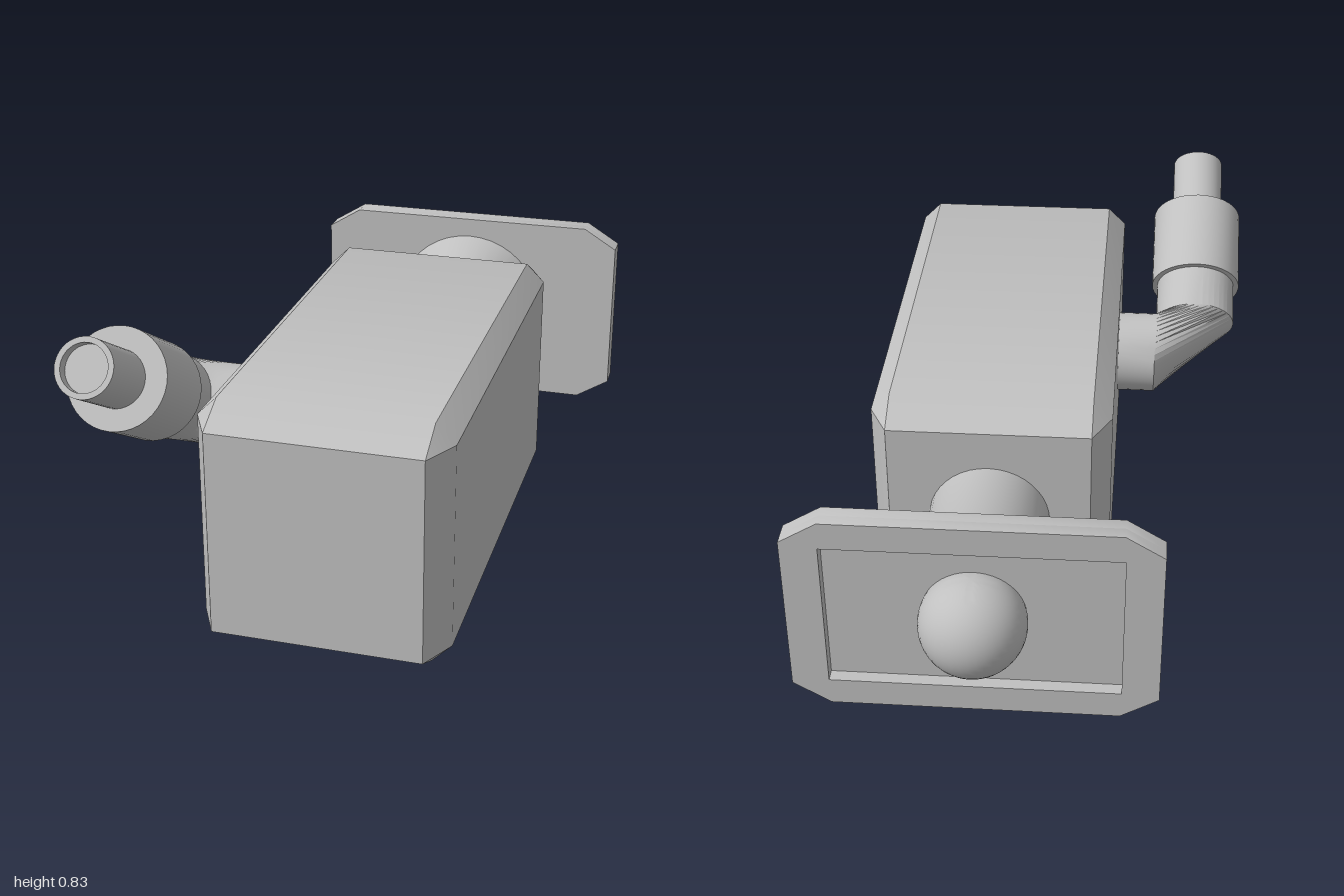
import * as THREE from 'three';
import { toCreasedNormals } from 'three/addons/utils/BufferGeometryUtils.js';
import { ConvexGeometry } from 'three/addons/geometries/ConvexGeometry.js';

const CREASE = THREE.MathUtils.degToRad(32);
const grey = new THREE.MeshStandardMaterial({ color: 0xc0c0c0 });
grey.name = 'grey metal';

function add(parent, name, geometry, x = 0, y = 0, z = 0) {
  const mesh = new THREE.Mesh(toCreasedNormals(geometry, CREASE), grey);
  mesh.name = name;
  mesh.position.set(x, y, z);
  parent.add(mesh);
  return mesh;
}

const lathe = (points) =>
  new THREE.LatheGeometry(points.map(([r, h]) => new THREE.Vector2(r, h)), 40);

// Box with all edges cut; the end bevels are longer than the side ones
function bevelledBox(w, h, d, b, bz) {
  const points = [];
  for (const sx of [-1, 1]) for (const sy of [-1, 1]) for (const sz of [-1, 1]) {
    const x = w / 2, y = h / 2, z = d / 2;
    points.push(
      new THREE.Vector3(sx * (x - b), sy * (y - b), sz * z),
      new THREE.Vector3(sx * x, sy * (y - b), sz * (z - bz)),
      new THREE.Vector3(sx * (x - b), sy * y, sz * (z - bz)));
  }
  return new ConvexGeometry(points);
}

// Pipe lofted through rings, each given by a centre and two axes
function pipe(rings, radius, sides = 40) {
  const positions = [];
  const point = (ring, j) => {
    const a = (j % sides) / sides * Math.PI * 2;
    return new THREE.Vector3(...ring.c)
      .addScaledVector(new THREE.Vector3(...ring.u), radius * Math.cos(a))
      .addScaledVector(new THREE.Vector3(...ring.v), radius * Math.sin(a));
  };
  for (let i = 0; i < rings.length - 1; i++) {
    for (let j = 0; j < sides; j++) {
      const a = point(rings[i], j), b = point(rings[i], j + 1);
      const c = point(rings[i + 1], j + 1), d = point(rings[i + 1], j);
      for (const p of [a, b, c, a, c, d]) positions.push(p.x, p.y, p.z);
    }
  }
  const geometry = new THREE.BufferGeometry();
  geometry.setAttribute('position', new THREE.Float32BufferAttribute(positions, 3));
  return geometry;
}

// Rectangle outline with cut corners
function plateShape(w, h, cx, cy) {
  const x = w / 2, y = h / 2;
  return new THREE.Shape([
    [-x + cx, -y], [x - cx, -y], [x, -y + cy], [x, y - cy],
    [x - cx, y], [-x + cx, y], [-x, y - cy], [-x, -y + cy],
  ].map(([px, py]) => new THREE.Vector2(px, py)));
}

export function createModel() {
  const model = new THREE.Group();
  const cx = 0.107, cy = 0.333;

  // Main housing
  add(model, 'housing', bevelledBox(0.655, 0.66, 1.35, 0.052, 0.1), cx, 0.33, 0.255);

  // Flared neck leading back to the mounting plate
  const neck = lathe([[0.165, 0], [0.165, 0.25], [0.235, 0.39]]).rotateX(-Math.PI / 2);
  add(model, 'neck', neck, cx, cy, -0.4);

  // Mounting plate: a slab plus a rim that leaves a shallow recess behind
  const flat = { depth: 0.035, bevelEnabled: false };
  const slab = plateShape(0.955, 0.585, 0.1, 0.062);
  add(model, 'plateSlab', new THREE.ExtrudeGeometry(slab, flat), cx, cy, -0.825);
  const rim = plateShape(0.955, 0.585, 0.1, 0.062);
  rim.holes.push(new THREE.Path([
    new THREE.Vector2(-0.38, -0.215), new THREE.Vector2(-0.38, 0.215),
    new THREE.Vector2(0.38, 0.215), new THREE.Vector2(0.38, -0.215),
  ]));
  add(model, 'plateRim', new THREE.ExtrudeGeometry(rim, flat), cx, cy, -0.86);

  // Ball joint
  add(model, 'ball', new THREE.SphereGeometry(0.14, 40, 28), cx, cy, -0.86);

  // Elbow pipe from the housing's right side
  const side = { u: [0, 0, 1], v: [0, 1, 0] };
  const tilted = { u: [1, 0, 0], v: [0, 0.866, -0.5] };
  add(model, 'elbowPipe', pipe([
    { c: [-0.2, 0.41, 0.357], ...side },
    { c: [-0.33, 0.41, 0.357], ...side },
    { c: [-0.451, 0.464, 0.45], ...tilted },
    { c: [-0.451, 0.54, 0.582], ...tilted },
  ], 0.119));

  // Raised nozzle: thick sleeve and thin hollow-ended tube
  const nozzle = new THREE.Group();
  nozzle.name = 'nozzle';
  nozzle.position.set(-0.451, 0.53, 0.565);
  nozzle.rotation.x = Math.PI / 3;
  add(nozzle, 'sleeve', new THREE.CylinderGeometry(0.135, 0.135, 0.255, 40), 0, 0.1275, 0);
  add(nozzle, 'tube', lathe([
    [0.077, 0.2], [0.077, 0.46], [0.062, 0.46], [0.062, 0.43], [0, 0.43],
  ]));
  model.add(nozzle);

  return model;
}
